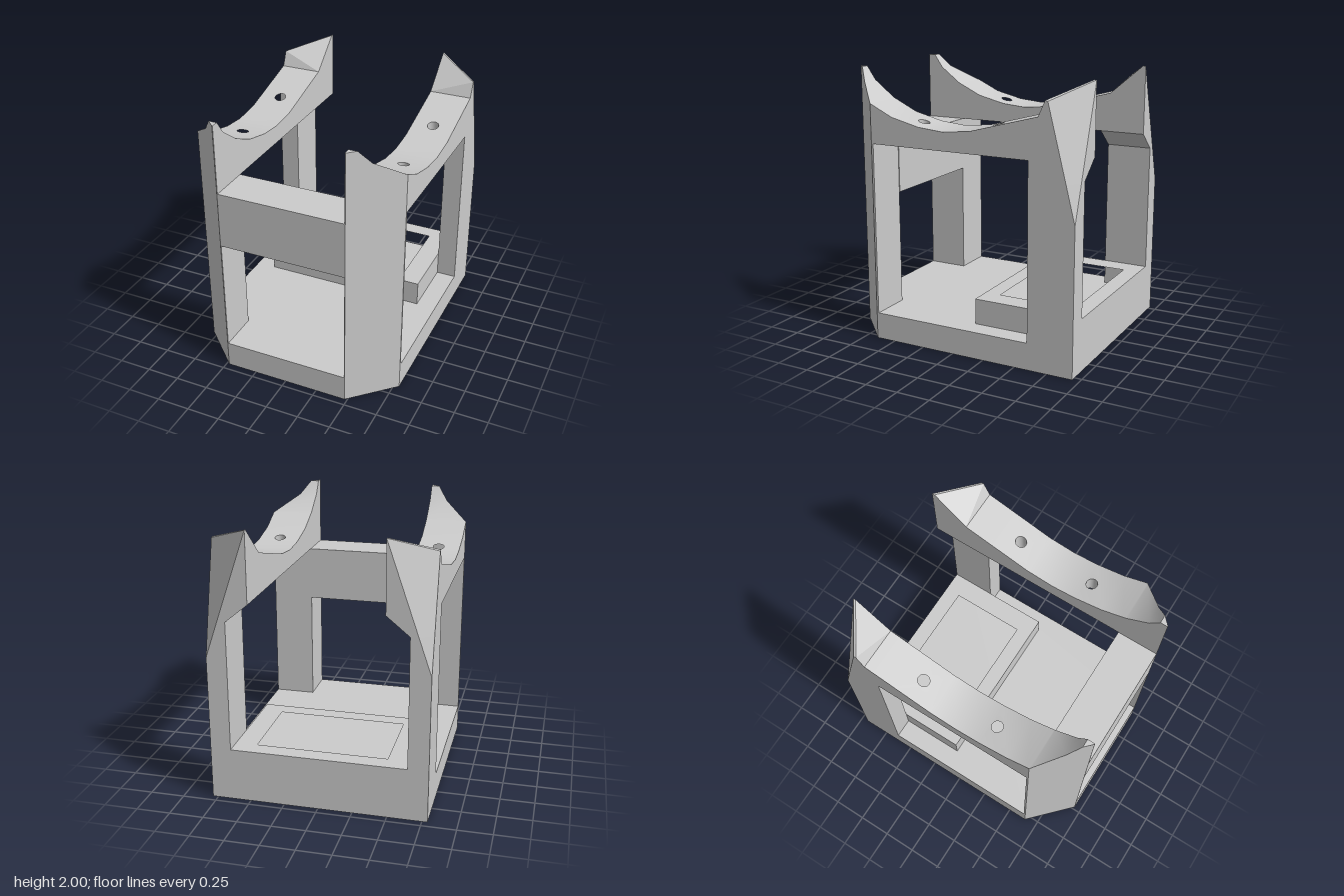
import * as THREE from 'three';
import { mergeGeometries, toCreasedNormals } from 'three/addons/utils/BufferGeometryUtils.js';
import { ConvexGeometry } from 'three/addons/geometries/ConvexGeometry.js';

const IN = 0.475, OUT = 0.79, FRONT = 0.945, BACK = -0.945;
const BASE_TOP = 0.2, RAIL_BOTTOM = 1.485, RAIL_BACK = -0.6;

// Cradle curve as [z, y], front to back
const CRADLE = [[0.945, 2], [0.89, 2], [0.82, 1.9], [0.66, 1.78], [0.47, 1.69], [0.25, 1.637],
  [0.06, 1.62], [-0.15, 1.64], [-0.45, 1.721], [-0.67, 1.78]];

function cradleY(z) {
  for (let i = 1; i < CRADLE.length; i++) {
    const [z0, y0] = CRADLE[i - 1], [z1, y1] = CRADLE[i];
    if (z >= z1) return y0 + (y1 - y0) * Math.min(1, Math.max(0, (z0 - z) / (z0 - z1)));
  }
  return CRADLE[CRADLE.length - 1][1];
}

// Outer wall in plan, with the front corner cut off
const outerX = z => z <= 0.65 ? OUT : OUT - (z - 0.65) / (FRONT - 0.65) * (OUT - 0.48);

// Shape from plan points [x, z]
const plan = pts => new THREE.Shape(pts.map(([x, z]) => new THREE.Vector2(x, -z)));

function slab(shape, y0, y1, curveSegments = 16) {
  const g = new THREE.ExtrudeGeometry(shape, { depth: y1 - y0, bevelEnabled: false, curveSegments });
  g.rotateX(-Math.PI / 2);
  g.translate(0, y0, 0);
  return g;
}

// Drop hidden walls of constant z, except those at a kept z
function dropWalls(geo, keepZ) {
  const p = geo.attributes.position, out = [];
  for (let i = 0; i < p.count; i += 3) {
    const z = p.getZ(i);
    const wall = Math.abs(p.getZ(i + 1) - z) < 1e-5 && Math.abs(p.getZ(i + 2) - z) < 1e-5;
    if (wall && !keepZ.some(k => Math.abs(k - z) < 1e-4)) continue;
    for (let j = i; j < i + 3; j++) out.push(p.getX(j), p.getY(j), p.getZ(j));
  }
  const g = new THREE.BufferGeometry();
  g.setAttribute('position', new THREE.Float32BufferAttribute(out, 3));
  return g;
}

// Body under the cradle curve, built in strips along z
function cradleBody(side, zs, bottom, keepZ, holes = []) {
  const strips = [];
  for (let i = 1; i < zs.length; i++) {
    const a = zs[i - 1], b = zs[i];
    const shape = plan([[side * IN, a], [side * outerX(a), a], [side * outerX(b), b], [side * IN, b]]);
    for (const h of holes.filter(h => h < a && h > b))
      shape.holes.push(new THREE.Path().absarc(side * 0.63, -h, 0.042, 0, Math.PI * 2, true));
    const g = slab(shape, 0, 1, 8);
    const p = g.attributes.position;
    for (let j = 0; j < p.count; j++) p.setY(j, p.getY(j) < 0.5 ? bottom : cradleY(p.getZ(j)));
    strips.push(dropWalls(g.index ? g.toNonIndexed() : g, keepZ));
  }
  return toCreasedNormals(mergeGeometries(strips), 0.5);
}

const hull = (side, pts) =>
  new ConvexGeometry(pts.map(([x, y, z]) => new THREE.Vector3(side * x, y, z)));

export function createModel() {
  const group = new THREE.Group();
  const grey = new THREE.MeshStandardMaterial({ color: 0xcccccc });
  grey.name = 'light grey';
  const add = (name, geometry) => {
    const mesh = new THREE.Mesh(geometry, grey);
    mesh.name = name;
    group.add(mesh);
  };

  // Base plate with a round recess underneath
  const outline = [[-OUT, BACK], [OUT, BACK], [OUT, 0.65], [0.48, FRONT], [-0.48, FRONT], [-OUT, 0.65]];
  const lower = plan(outline);
  lower.holes.push(new THREE.Path().absarc(0, 0, 0.353, 0, Math.PI * 2, true));
  add('baseUnderside', toCreasedNormals(slab(lower, 0, 0.065, 24), 0.5));
  add('basePlate', slab(plan(outline), 0.065, BASE_TOP));

  // Open tray at the back of the base
  const tray = plan([[-0.64, BACK], [0.64, BACK], [0.64, -0.11], [-0.64, -0.11]]);
  tray.holes.push(plan([[-0.48, -0.82], [0.48, -0.82], [0.48, -0.23], [-0.48, -0.23]]));
  add('tray', slab(tray, BASE_TOP, 0.39));

  // Front cross bar
  const bar = new THREE.BoxGeometry(IN * 2, 0.42, 0.315);
  bar.translate(0, 1.275, 0.7875);
  add('crossBar', bar);

  for (const side of [1, -1]) {
    const label = side > 0 ? 'left' : 'right';

    // Front post and curved top rail with two bolt holes
    add(label + 'FrontPost',
      cradleBody(side, [FRONT, 0.89, 0.82, 0.66, 0.65, 0.635], BASE_TOP, [FRONT, 0.635]));
    add(label + 'Rail',
      cradleBody(side, [0.635, 0.47, 0.25, 0.06, -0.15, -0.45, RAIL_BACK], RAIL_BOTTOM, [], [0.3, -0.3]));

    // Back post, cut away at its outer corner
    const kneeTop = [[0.64, 1.35, BACK], [0.698, 1.35, BACK], [OUT, 1.35, -0.877]];
    add(label + 'BackPost', hull(side, [
      [0.64, BASE_TOP, RAIL_BACK], [OUT, BASE_TOP, RAIL_BACK], [0.64, BASE_TOP, BACK], [OUT, BASE_TOP, BACK],
      [OUT, 1.08, BACK], ...kneeTop, [0.64, 1.35, RAIL_BACK], [OUT, 1.35, RAIL_BACK]]));

    // Rail end with sloped gusset
    const gusset = z => [[0.64, 1.35, z], [OUT, 1.35, z], [IN, RAIL_BOTTOM, z],
      [IN, cradleY(z), z], [OUT, cradleY(z), z]];
    add(label + 'RailEnd', hull(side, [...gusset(RAIL_BACK), ...gusset(-0.67)]));

    // Pointed back horn
    add(label + 'Horn', hull(side, [...gusset(-0.67), ...kneeTop, [IN, RAIL_BOTTOM, BACK],
      [OUT, 1.89, -0.72], [OUT, 1.885, -0.74], [IN, 2, -0.925], [IN, 2, BACK]]));
  }
  return group;
}
